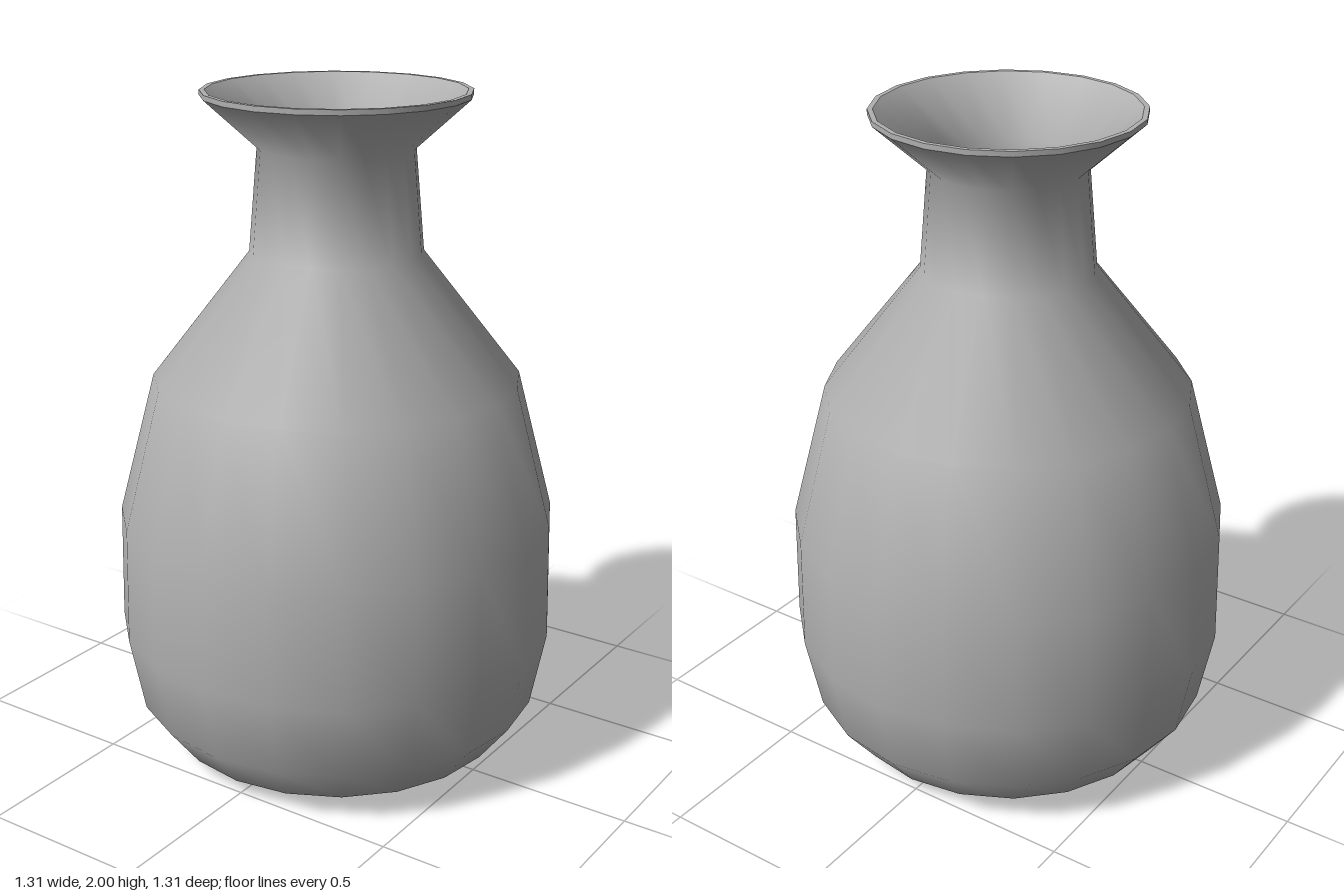
import * as THREE from 'three';

const SIDES = 20;

export function createModel() {
  const vase = new THREE.Group();
  vase.name = 'vase';
  const clay = new THREE.MeshStandardMaterial({ color: 0xb0b0b0 });
  clay.name = 'grey clay';

  // Each section is a smooth lathe; sharp edges fall between sections.
  const section = (name, profile) => {
    const points = profile.map(([r, y]) => new THREE.Vector2(r, y));
    const mesh = new THREE.Mesh(new THREE.LatheGeometry(points, SIDES), clay);
    mesh.name = name;
    vase.add(mesh);
  };

  // Flat underside
  section('base', [[0, 0], [0.35, 0]]);

  // Rounded belly, shoulder, neck and flared lip
  section('body', [
    [0.35, 0], [0.52, 0.05], [0.612, 0.17], [0.657, 0.4], [0.65, 0.75],
    [0.54, 1.17], [0.252, 1.54], [0.226, 1.84], [0.385, 1.985],
  ]);

  // Thin rim
  section('rimEdge', [[0.385, 1.985], [0.385, 2]]);
  section('rimTop', [[0.385, 2], [0.37, 2]]);

  // Hollow inside, running from the lip down to the floor
  section('innerWall', [
    [0.37, 2], [0.206, 1.845], [0.23, 1.545], [0.515, 1.165], [0.625, 0.75],
    [0.632, 0.4], [0.588, 0.18], [0.5, 0.07], [0.34, 0.025],
  ]);
  section('innerFloor', [[0.34, 0.025], [0, 0.025]]);

  return vase;
}
